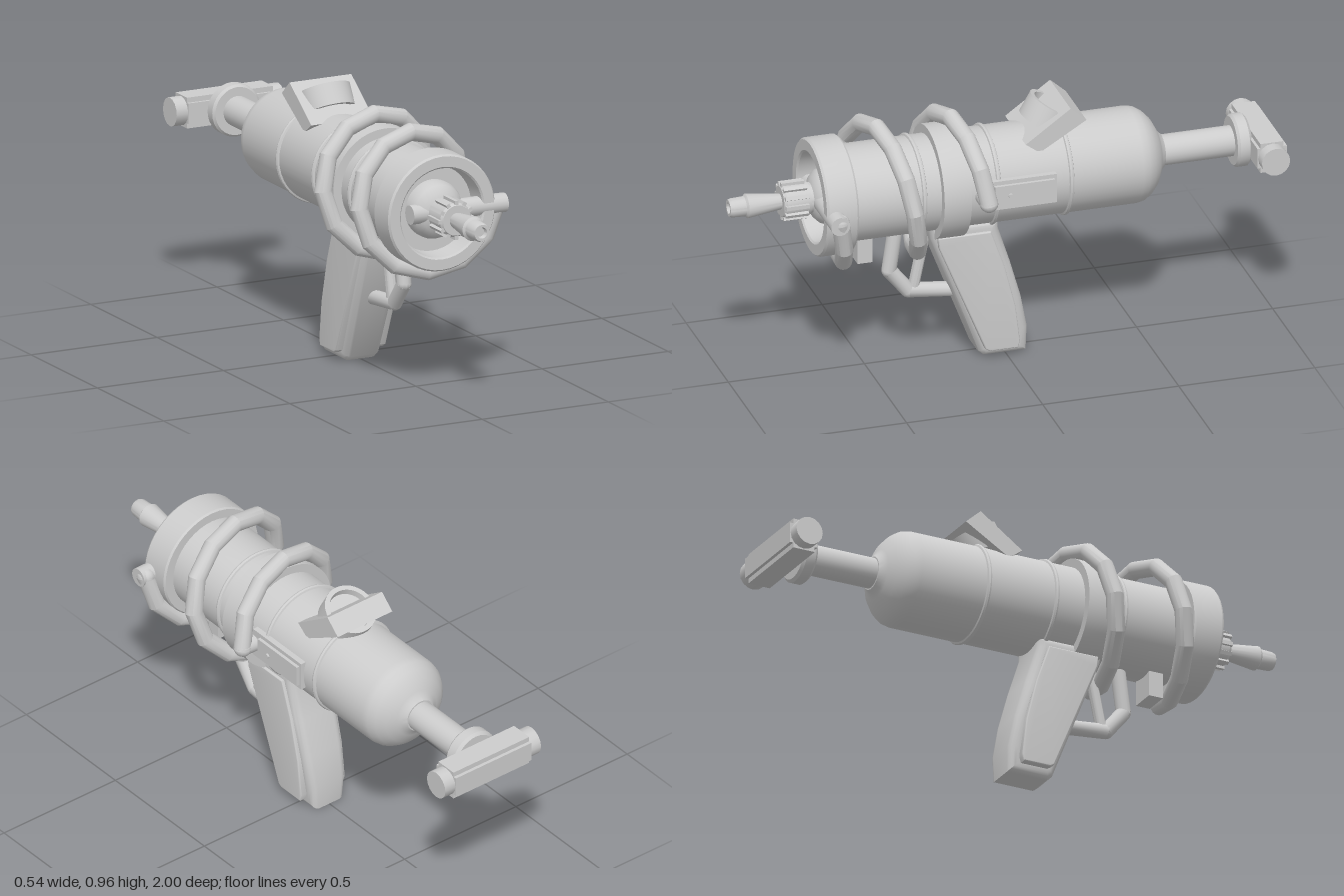
import * as THREE from 'three';
import { toCreasedNormals } from 'three/addons/utils/BufferGeometryUtils.js';

const AXIS_Y = 0.68;

export function createModel() {
  const model = new THREE.Group();
  const grey = new THREE.MeshStandardMaterial({ color: 0xcccccc });
  grey.name = 'lightGrey';

  const add = (name, geo, parent = model, crease = 0.5) => {
    const mesh = new THREE.Mesh(toCreasedNormals(geo, crease), grey);
    mesh.name = name;
    parent.add(mesh);
    return mesh;
  };
  const box = (name, w, h, d, x, y, z, parent) =>
    add(name, new THREE.BoxGeometry(w, h, d).translate(x, y, z), parent);
  // Turned part along the barrel axis: [radius, z] listed from back to front
  const turned = (name, profile, segments = 40) =>
    add(name, new THREE.LatheGeometry(profile.map(p => new THREE.Vector2(...p)), segments)
      .rotateX(Math.PI / 2).translate(0, AXIS_Y, 0));
  // Side profile [z, y] extruded across x, centred on x = 0
  const sideExtrude = (profile, width, bevel = 0) => {
    const shape = new THREE.Shape(profile.map(p => new THREE.Vector2(...p)));
    const depth = width - 2 * bevel;
    return new THREE.ExtrudeGeometry(shape, {
      depth, bevelEnabled: bevel > 0, bevelSize: bevel, bevelThickness: bevel,
      bevelOffset: -bevel, bevelSegments: 4,
    }).translate(0, 0, -depth / 2).rotateY(-Math.PI / 2);
  };

  // Main tank with rounded rear shoulder
  turned('tankBody', [
    [0, -0.59], [0.06, -0.59], [0.075, -0.575], [0.09, -0.568], [0.125, -0.55],
    [0.152, -0.525], [0.168, -0.5], [0.173, -0.475], [0.173, 0.6], [0, 0.6],
  ]);
  for (const z of [-0.21, 0.058, 0.33])
    add('tankBand', new THREE.TorusGeometry(0.173, 0.009, 8, 40).translate(0, AXIS_Y, z));
  turned('collar', [[0.17, 0.168], [0.205, 0.168], [0.205, 0.268], [0.17, 0.268]]);

  // Open front ring with a dome in its recess
  turned('frontRing', [
    [0.17, 0.583], [0.207, 0.583], [0.212, 0.59], [0.212, 0.692],
    [0.206, 0.7], [0.168, 0.7], [0.162, 0.694], [0.155, 0.62], [0, 0.62],
  ]);
  turned('frontDome', [[0.105, 0.61], [0.105, 0.645], [0.095, 0.672], [0.075, 0.692], [0.055, 0.7], [0.055, 0.72], [0, 0.72]]);
  add('feedPipe', new THREE.CylinderGeometry(0.035, 0.035, 0.375, 16)
    .rotateZ(Math.PI / 2).translate(0.075, AXIS_Y, 0.668));

  // Nozzle with ribbed knob
  turned('nozzleKnob', [[0, 0.71], [0.06, 0.71], [0.062, 0.8], [0.055, 0.81], [0, 0.81]], 24);
  for (let i = 0; i < 12; i++)
    add('knobRib', new THREE.BoxGeometry(0.014, 0.016, 0.085).translate(0, 0.063, 0)
      .rotateZ(i * Math.PI / 6).translate(0, AXIS_Y, 0.765));
  turned('nozzle', [
    [0, 0.8], [0.027, 0.8], [0.044, 0.935], [0.036, 0.942], [0.034, 0.99],
    [0.03, 1], [0.02, 1], [0.016, 0.985], [0, 0.985],
  ], 24);

  // Coiled hose: two turns in straight segments, ending in the tank side
  class Helix extends THREE.Curve {
    getPoint(t, target = new THREE.Vector3()) {
      const a = -t * Math.PI * 4;
      return target.set(0.237 * Math.cos(a), AXIS_Y + 0.237 * Math.sin(a), 0.66 - 0.545 * t);
    }
  }
  const hose = new THREE.Group();
  hose.name = 'coiledHose';
  model.add(hose);
  add('hoseCoil', new THREE.TubeGeometry(new Helix(), 24, 0.032, 16), hose, 0.45);
  for (const z of [0.66, 0.115])
    add('hoseElbow', new THREE.SphereGeometry(0.033, 16, 12).translate(0.235, AXIS_Y, z), hose);
  add('hoseInlet', new THREE.CylinderGeometry(0.031, 0.031, 0.08, 16)
    .rotateZ(Math.PI / 2).translate(0.2, AXIS_Y, 0.115), hose);

  // Plunger rod, flange and cross handle
  turned('plungerRod', [[0.055, -0.87], [0.055, -0.58]], 24);
  turned('plungerFlange', [[0, -0.9], [0.085, -0.9], [0.095, -0.89], [0.095, -0.855], [0.087, -0.846], [0, -0.846]], 32);
  const handle = new THREE.Group();
  handle.name = 'crossHandle';
  model.add(handle);
  add('handleBar', new THREE.CylinderGeometry(0.052, 0.052, 0.43, 16)
    .rotateZ(Math.PI / 2).translate(0, AXIS_Y, -0.946), handle);
  box('handleGrip', 0.34, 0.112, 0.085, 0, AXIS_Y, -0.945, handle);
  box('handleGripPlate', 0.34, 0.075, 0.108, 0, AXIS_Y, -0.946, handle);

  // Tilted gauge: slanted bracket crossed by an open ring
  const gauge = new THREE.Group();
  gauge.name = 'gauge';
  model.add(gauge);
  add('gaugeBracket', sideExtrude([[-0.055, 0.833], [-0.107, 0.795], [-0.278, 0.898], [-0.22, 0.95]], 0.245), gauge);
  const rim = [[0.078, -0.04], [0.095, -0.04], [0.095, 0.04], [0.078, 0.04], [0.074, 0.015], [0, 0.015]];
  const ring = add('gaugeRing', new THREE.LatheGeometry(rim.map(p => new THREE.Vector2(...p)), 32), gauge);
  ring.position.set(0, 0.882, -0.176);
  ring.rotation.x = -0.53;

  // Side panel with raised cover and screw
  box('sidePanel', 0.03, 0.11, 0.27, 0.17, AXIS_Y, -0.015);
  box('sidePanelCover', 0.03, 0.08, 0.22, 0.182, AXIS_Y, -0.03);
  add('panelScrew', new THREE.CylinderGeometry(0.009, 0.009, 0.008, 10)
    .rotateZ(Math.PI / 2).translate(0.2, AXIS_Y, 0.022));

  // Block under the tank
  box('lowerBlock', 0.1, 0.13, 0.055, 0, 0.485, 0.513);

  // Pistol grip, narrowing toward its base
  const gripGeo = sideExtrude([
    [0.285, 0.54], [0.28, 0.49], [0.1, 0.02], [0.08, 0.003], [-0.077, 0.003],
    [-0.079, 0.1], [-0.055, 0.22], [-0.015, 0.36], [0.03, 0.5], [0.03, 0.54],
  ], 0.18, 0.03);
  const pos = gripGeo.attributes.position;
  for (let i = 0; i < pos.count; i++) {
    const t = Math.min(1, Math.max(0, pos.getY(i) / 0.35));
    pos.setX(i, pos.getX(i) * (0.78 + 0.22 * Math.sin(t * Math.PI / 2)));
  }
  add('grip', gripGeo, model, 0.6);
  for (const s of [-1, 1])
    add('gripPanel', sideExtrude([
      [0.26, 0.5], [0.255, 0.46], [0.085, 0.045], [0.07, 0.035], [-0.035, 0.035],
      [-0.042, 0.06], [-0.025, 0.2], [0.015, 0.36], [0.065, 0.5],
    ], 0.04, 0.005).translate(s * 0.08, 0, 0));

  // Trigger guard and trigger
  const rod = (name, a, b, r) => {
    const p = new THREE.Vector3(0, a[1], a[0]), q = new THREE.Vector3(0, b[1], b[0]);
    const mesh = add(name, new THREE.CylinderGeometry(r, r, p.distanceTo(q), 12), model, 0.6);
    mesh.position.copy(p).add(q).multiplyScalar(0.5);
    mesh.quaternion.setFromUnitVectors(new THREE.Vector3(0, 1, 0), q.sub(p).normalize());
  };
  const guard = [[0.385, 0.53], [0.41, 0.355], [0.34, 0.268], [0.17, 0.25]];
  for (let i = 0; i < 3; i++) {
    rod('triggerGuard', guard[i], guard[i + 1], 0.027);
    if (i) add('guardJoint', new THREE.SphereGeometry(0.027, 12, 10).translate(0, guard[i][1], guard[i][0]));
  }
  rod('trigger', [0.27, 0.52], [0.32, 0.28], 0.02);

  return model;
}
